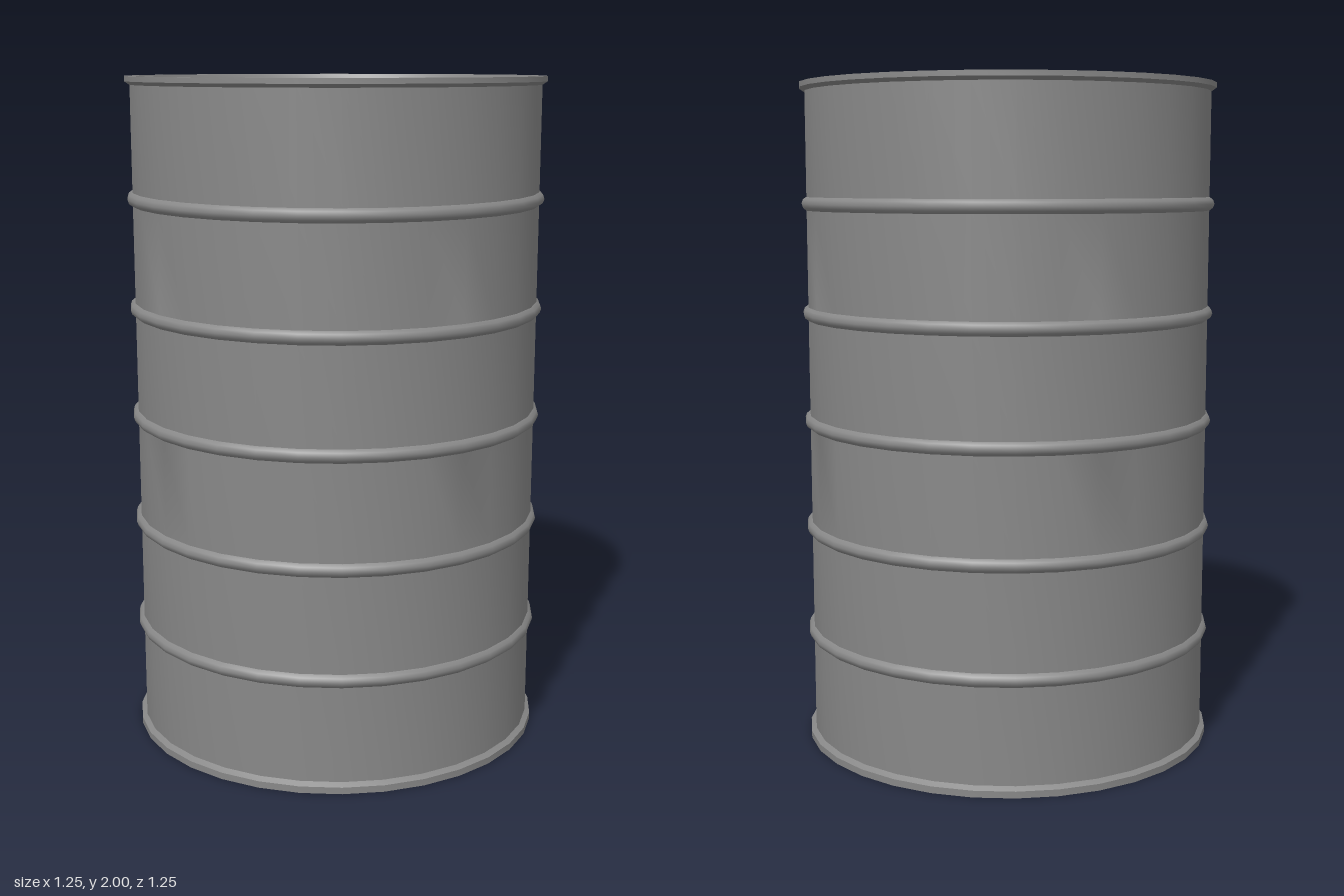
import * as THREE from 'three';
import { toCreasedNormals } from 'three/addons/utils/BufferGeometryUtils.js';

const SIDES = 32, BODY = 0.61, RIM = 0.625;
const material = new THREE.MeshStandardMaterial({ color: 0x888888 });

// Turns a profile (bottom to top) around y; edges sharper than 40 degrees stay crisp
function turned(name, profile) {
  const points = profile.map(([r, y]) => new THREE.Vector2(r, y));
  const geometry = toCreasedNormals(new THREE.LatheGeometry(points, SIDES), THREE.MathUtils.degToRad(40));
  const mesh = new THREE.Mesh(geometry, material);
  mesh.name = name;
  return mesh;
}

export function createModel() {
  const group = new THREE.Group();
  group.name = 'barrel';

  // Flat base with its bottom rim
  group.add(turned('base', [[0, 0], [RIM, 0], [RIM, 0.02], [BODY, 0.03]]));

  // Wall with five rounded hoops
  const wall = [[BODY, 0.03]];
  for (let i = 0; i < 5; i++) {
    const y = 0.337 + i * 0.327;
    wall.push([BODY, y - 0.02], [0.621, y - 0.012], [RIM, y], [0.621, y + 0.012], [BODY, y + 0.02]);
  }
  wall.push([BODY, 1.975]);
  group.add(turned('wall', wall));

  // Top rim stepping down to the recessed lid
  group.add(turned('topRim', [
    [BODY, 1.975], [RIM, 1.985], [RIM, 2], [0.603, 2], [0.597, 1.986], [0.586, 1.985], [0.57, 1.965],
  ]));
  group.add(turned('lid', [[0.57, 1.965], [0, 1.965]]));

  return group;
}
